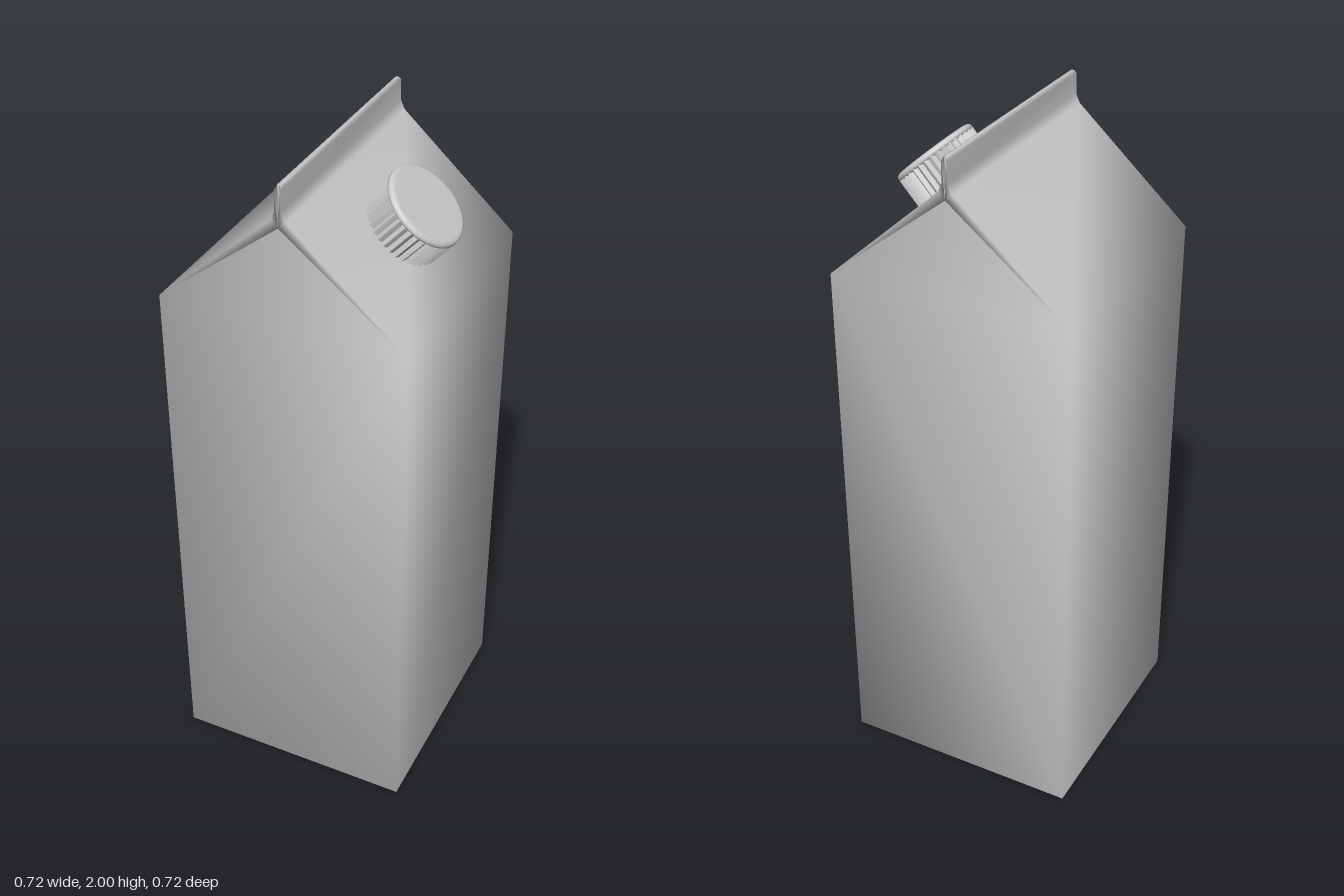
import * as THREE from 'three';

const grey = (extra = {}) => new THREE.MeshStandardMaterial({ color: 0xcccccc, ...extra });
const HALF = 0.36; // half width and half depth of the carton
const EAVE = 1.6; // height where the walls end and the gable starts

// Carton: one outline swept front to back, closed by walls and tucked-in gable folds
function cartonGeometry() {
  const side = [[HALF, 0], [HALF, EAVE], [0.02, 1.905], [0.009, 1.93], [0.008, 1.99], [0.004, 2]];
  const outline = [...side, ...side.map(([x, y]) => [-x, y]).reverse()];
  const n = outline.length; // 0 and 11 base, 1 and 10 eaves, 2..9 ridge and fin
  const ridge = n, apex = n + 1, count = n + 2;
  const positions = [], index = [];

  for (const s of [1, -1]) {
    // the fin's top corners are slightly rounded off
    for (const [x, y] of outline) positions.push(x, y, s * (y >= 2 ? HALF - 0.008 : HALF));
    positions.push(0, 1.885, s * HALF); // underside of the ridge
    positions.push(0, 1.885, s * 0.01); // where the folded end panel meets the middle
  }

  // Bottom, side walls, roof panels and fin sides
  for (let i = 0; i < n; i++) {
    const j = (i + 1) % n;
    index.push(i, i + count, j + count, i, j + count, j);
  }

  // End wall, sloping end panel, two gussets, roof edges and fin end
  const end = [
    [11, 0, 1], [11, 1, 10],
    [10, 1, apex], [1, ridge, apex], [10, apex, ridge],
    [1, 2, ridge], [9, 10, ridge],
  ];
  for (let i = 2; i < 9; i++) end.push([ridge, i, i + 1]);
  for (const [a, b, c] of end) {
    index.push(a, b, c, a + count, c + count, b + count);
  }

  const geometry = new THREE.BufferGeometry();
  geometry.setAttribute('position', new THREE.Float32BufferAttribute(positions, 3));
  geometry.setIndex(index);
  geometry.computeVertexNormals();
  return geometry;
}

// Screw cap, built along +y from its seat
function createCap() {
  const cap = new THREE.Group();
  cap.name = 'screwCap';

  // Ribbed grip
  const teeth = 36, steps = teeth * 4, points = [];
  for (let i = 0; i < steps; i++) {
    const a = (i / steps) * Math.PI * 2;
    const r = 0.1195 + 0.0045 * Math.cos(a * teeth);
    points.push(new THREE.Vector2(r * Math.cos(a), r * Math.sin(a)));
  }
  const gripGeometry = new THREE.ExtrudeGeometry(new THREE.Shape(points), {
    depth: 0.105, bevelEnabled: false,
  });
  gripGeometry.rotateX(-Math.PI / 2).translate(0, -0.01, 0);
  const grip = new THREE.Mesh(gripGeometry, grey());
  grip.name = 'capGrip';

  // Smooth lid with a rounded rim
  const profile = [[0.118, 0.088], [0.124, 0.092], [0.124, 0.098], [0.121, 0.104], [0.115, 0.107], [0.108, 0.108], [0, 0.108]]
    .map(([r, y]) => new THREE.Vector2(r, y));
  const lid = new THREE.Mesh(new THREE.LatheGeometry(profile, 64), grey());
  lid.name = 'capLid';

  cap.add(grip, lid);
  return cap;
}

export function createModel() {
  const model = new THREE.Group();
  model.name = 'gableTopCarton';

  const carton = new THREE.Mesh(cartonGeometry(), grey({ side: THREE.DoubleSide }));
  carton.name = 'carton';

  // Cap sits square on the +x roof panel
  const cap = createCap();
  const slope = Math.atan2(0.305, 0.34);
  cap.rotation.z = -slope;
  cap.position.set(0.18, 1.761, 0.006);

  model.add(carton, cap);
  return model;
}
